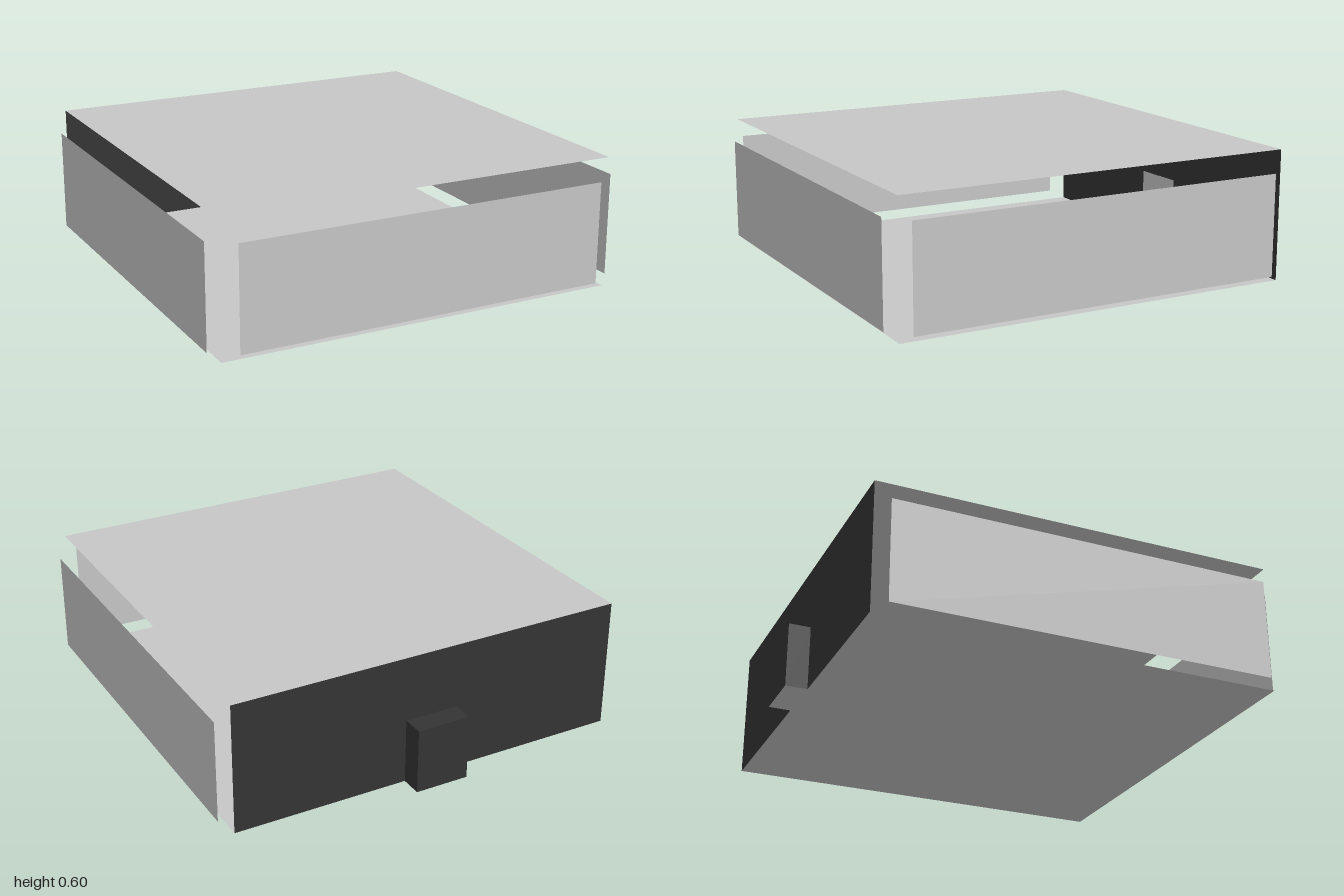
import * as THREE from 'three';

export function createModel() {
  const model = new THREE.Group();
  const light = new THREE.MeshStandardMaterial({ color: 0xc6c6c6, side: THREE.DoubleSide });
  light.name = 'light grey';
  const dark = new THREE.MeshStandardMaterial({ color: 0x343434, side: THREE.DoubleSide });
  dark.name = 'dark grey';

  // Flat sheet: width, height, centre, rotation about x and y
  function sheet(name, w, h, pos, material, rx = 0, ry = 0) {
    const mesh = new THREE.Mesh(new THREE.PlaneGeometry(w, h), material);
    mesh.name = name;
    mesh.position.set(...pos);
    mesh.rotation.set(rx, ry, 0);
    model.add(mesh);
  }

  // Horizontal sheets
  sheet('topPanel', 1.86, 1.86, [0, 0.6, 0.03], light, -Math.PI / 2);
  sheet('basePanel', 1.86, 1.86, [0, 0, 0.03], light, Math.PI / 2);

  // Inset walls, standing slightly clear of the horizontal sheets
  sheet('frontPanel', 1.73, 0.47, [0, 0.27, 1], light);
  for (const side of [-1, 1]) {
    sheet(side > 0 ? 'leftPanel' : 'rightPanel', 1.76, 0.47,
      [side * 0.975, 0.27, 0.04], light, 0, side * Math.PI / 2);
  }

  // Full height dark back wall
  sheet('backPanel', 1.86, 0.6, [0, 0.3, -0.9], dark, 0, Math.PI);

  // Dark rear block with a light underside and a light mounting plate inside
  const block = new THREE.Mesh(new THREE.BoxGeometry(0.25, 0.3, 0.1),
    [dark, dark, dark, light, light, dark]);
  block.name = 'rearBlock';
  block.position.set(-0.005, 0.15, -0.95);
  model.add(block);
  sheet('mountingPlate', 0.26, 0.3, [-0.01, 0.15, -0.896], light);

  return model;
}
